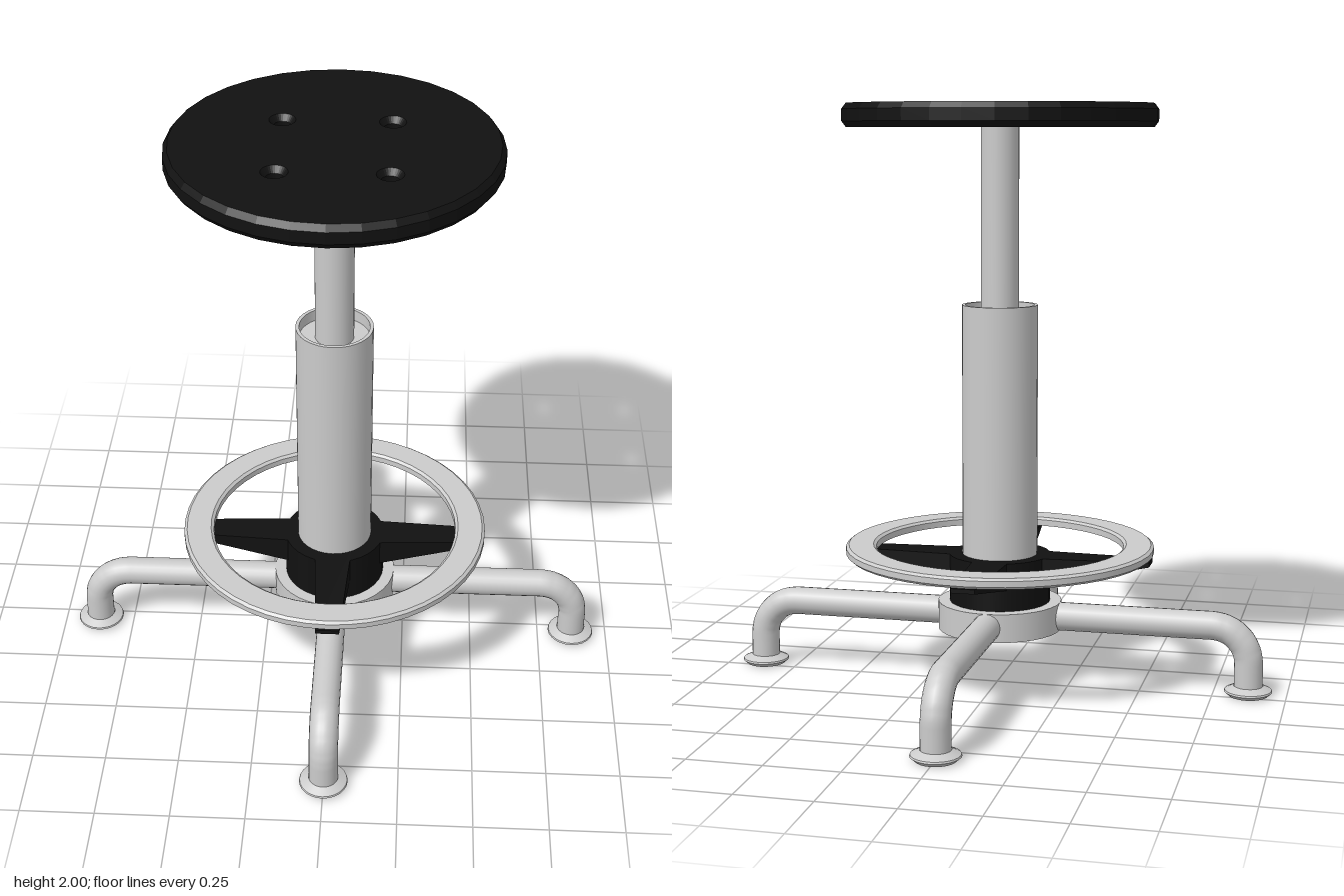
import * as THREE from 'three';

const grey = new THREE.MeshStandardMaterial({ color: 0xcccccc });
const black = new THREE.MeshStandardMaterial({ color: 0x111111 });
const AXIS_Z = 0.04; // the column sits slightly forward of the origin

function add(parent, name, geometry, material) {
  const mesh = new THREE.Mesh(geometry, material);
  mesh.name = name;
  parent.add(mesh);
  return mesh;
}

// Lathe with crisp edges: every profile point is followed by a separate band
function turned(parent, name, points, material, sides = 32) {
  const group = new THREE.Group();
  group.name = name;
  for (let i = 0; i < points.length - 1; i++) {
    const band = [points[i], points[i + 1]].map(([r, y]) => new THREE.Vector2(r, y));
    add(group, name + 'Band', new THREE.LatheGeometry(band, sides), material);
  }
  parent.add(group);
  return group;
}

// Round seat with chamfered rim and four through holes
function makeSeat() {
  const disc = new THREE.Shape().absarc(0, 0, 0.52, 0, Math.PI * 2);
  for (const x of [-0.172, 0.178]) {
    for (const z of [-0.14, 0.21]) {
      disc.holes.push(new THREE.Path().absarc(x, -z, 0.043, 0, Math.PI * 2, true));
    }
  }
  const seat = new THREE.ExtrudeGeometry(disc, {
    depth: 0.04, bevelEnabled: true, bevelThickness: 0.02, bevelSize: 0.015,
    bevelSegments: 1, curveSegments: 16,
  });
  return seat.rotateX(-Math.PI / 2).translate(0, 1.94, 0);
}

// Bent tube leg running along +x, with a flared glide foot
function makeLeg(reach) {
  const leg = new THREE.Group();
  leg.name = 'leg';
  const y = 0.237, bend = 0.125;
  const path = new THREE.CurvePath();
  const v = (x, h) => new THREE.Vector3(x, h, 0);
  const points = [v(0.12, y), v(reach - bend - 0.02, y)];
  for (let i = 0; i <= 8; i++) {
    const a = (i / 8) * Math.PI / 2;
    points.push(v(reach - bend + bend * Math.sin(a), y - bend + bend * Math.cos(a)));
  }
  points.push(v(reach, 0.02));
  for (let i = 0; i < points.length - 1; i++) path.add(new THREE.LineCurve3(points[i], points[i + 1]));
  add(leg, 'legTube', new THREE.TubeGeometry(path, 60, 0.049, 20), grey);
  const foot = turned(leg, 'foot',
    [[0, 0], [0.066, 0], [0.082, 0.014], [0.08, 0.02], [0.05, 0.034]], grey, 24);
  foot.position.x = reach;
  return leg;
}

// Tapered bracket from the collar out to the foot ring
function makeArm() {
  const side = new THREE.Shape([
    [0.1, 0.35], [0.17, 0.36], [0.53, 0.437], [0.53, 0.452], [0.1, 0.452],
  ].map(([x, y]) => new THREE.Vector2(x, y)));
  const arm = new THREE.ExtrudeGeometry(side, { depth: 1, bevelEnabled: false });
  arm.translate(0, 0, -0.5);
  const p = arm.attributes.position;
  for (let i = 0; i < p.count; i++) {
    p.setZ(i, p.getZ(i) * THREE.MathUtils.mapLinear(p.getX(i), 0.1, 0.53, 0.13, 0.08));
  }
  arm.computeVertexNormals();
  return arm;
}

export function createModel() {
  const stool = new THREE.Group();
  stool.name = 'stool';
  const body = new THREE.Group();
  body.name = 'body';
  body.position.z = AXIS_Z;
  stool.add(body);

  // Seat and column
  add(body, 'seat', makeSeat(), black);
  turned(body, 'post', [[0.065, 1.2], [0.065, 1.925]], grey);
  turned(body, 'sleeve',
    [[0.13, 0.44], [0.13, 1.32], [0.118, 1.32], [0.118, 1.28], [0, 1.28]], grey);

  // Foot ring on its collar and brackets
  turned(body, 'footRing', [
    [0.43, 0.46], [0.525, 0.453], [0.535, 0.462], [0.535, 0.482],
    [0.525, 0.49], [0.44, 0.49], [0.43, 0.482], [0.43, 0.46],
  ], grey, 48);
  turned(body, 'collar', [[0, 0.28], [0.175, 0.28], [0.175, 0.452], [0, 0.452]], black);
  for (let i = 0; i < 4; i++) {
    add(body, 'ringArm', makeArm(), black).rotation.y = i * Math.PI / 2;
  }

  // Hub and four legs: left, back, right, front
  turned(body, 'hub', [[0, 0.188], [0.215, 0.188], [0.215, 0.286], [0, 0.286]], grey);
  [0.87, 0.87, 0.87, 0.79].forEach((reach, i) => {
    const leg = makeLeg(reach);
    leg.rotation.y = i * Math.PI / 2;
    body.add(leg);
  });
  return stool;
}
